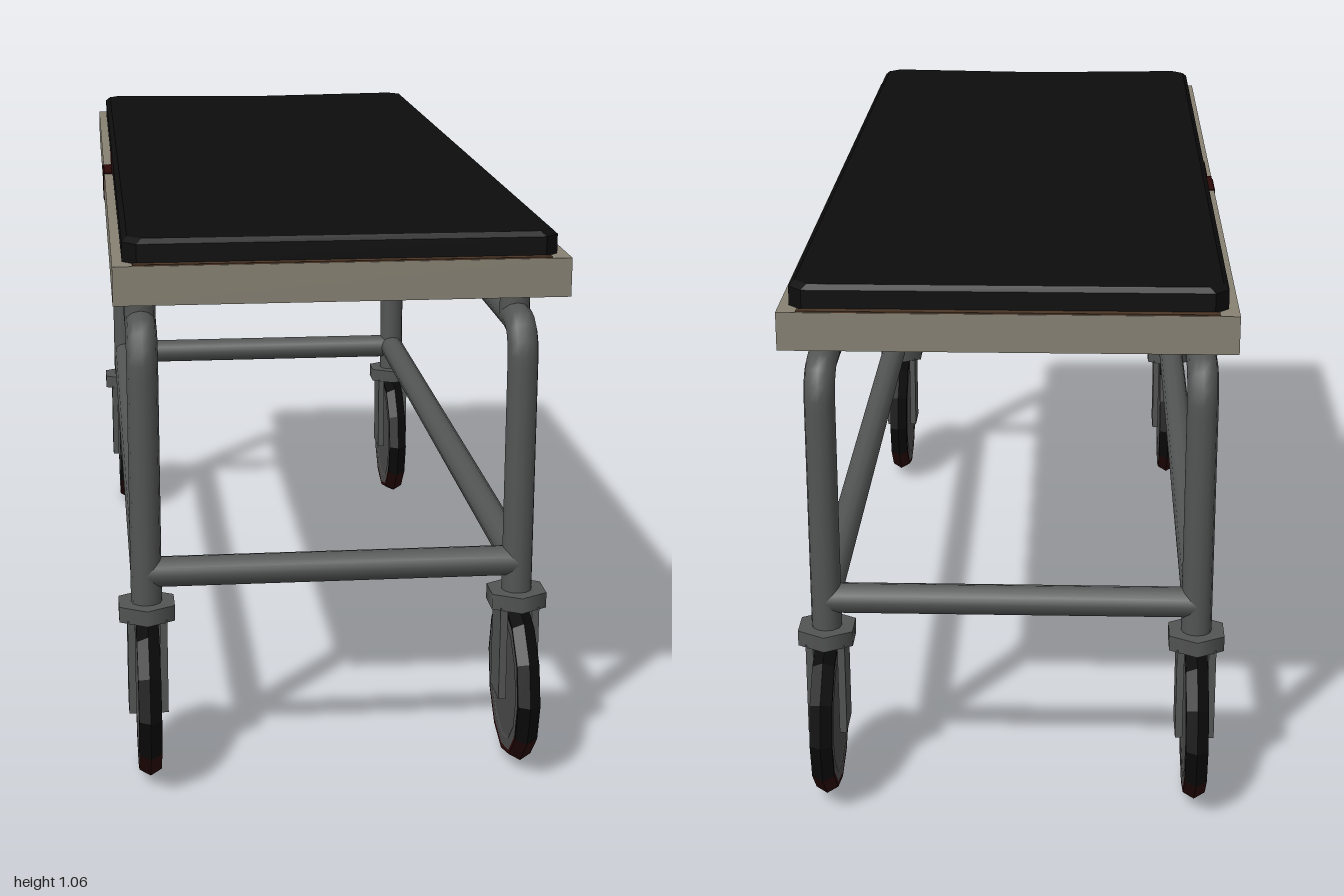
import * as THREE from 'three';

const mat = (name, color) => {
  const m = new THREE.MeshStandardMaterial({ color });
  m.name = name;
  return m;
};

const LEG_X = 0.352, LEG_Z = 0.843, PIPE = 0.029, RAIL_Y = 0.86, LOW_Y = 0.402;
const WHEEL_Y = 0.164;

function flat(geo) {
  const g = geo.index ? geo.toNonIndexed() : geo;
  g.computeVertexNormals();
  return g;
}

// Chamfered pad lofted from rings, closed by a slightly sunken top
function padGeometry(hx, hz, rings, topY) {
  const pos = [], idx = [], n = 8;
  for (const [inset, y] of rings) {
    const x = hx - inset, z = hz - inset, c = 0.025;
    for (const [px, pz] of [[x, z - c], [x - c, z], [c - x, z], [-x, z - c],
      [-x, c - z], [c - x, -z], [x - c, -z], [x, c - z]]) pos.push(px, y, pz);
  }
  for (let r = 0; r < rings.length - 1; r++) {
    for (let i = 0; i < n; i++) {
      const a = r * n + i, b = r * n + (i + 1) % n;
      idx.push(a, a + n, b, b, a + n, b + n);
    }
  }
  // Sunken centre line running along z
  const last = (rings.length - 1) * n, front = rings.length * n, back = front + 1;
  const zEnd = hz - rings[rings.length - 1][0];
  pos.push(0, topY, zEnd, 0, topY, -zEnd);
  const v = (i) => last + i;
  const top = [[v(0), v(7), back, front], [v(0), front, v(1)], [v(7), v(6), back],
    [v(3), front, back, v(4)], [v(3), v(2), front], [v(4), back, v(5)]];
  for (const f of top) for (let k = 1; k < f.length - 1; k++) idx.push(f[0], f[k], f[k + 1]);
  const g = new THREE.BufferGeometry();
  g.setAttribute('position', new THREE.Float32BufferAttribute(pos, 3));
  // Every ring runs clockwise from above, so orient faces outward
  const p = g.attributes.position, a = new THREE.Vector3(), b = new THREE.Vector3(), c = new THREE.Vector3();
  const centre = new THREE.Vector3(0, 1.0, 0);
  for (let i = 0; i < idx.length; i += 3) {
    a.fromBufferAttribute(p, idx[i]);
    b.fromBufferAttribute(p, idx[i + 1]);
    c.fromBufferAttribute(p, idx[i + 2]);
    const normal = b.clone().sub(a).cross(c.clone().sub(a));
    if (normal.dot(a.clone().sub(centre)) < 0) [idx[i + 1], idx[i + 2]] = [idx[i + 2], idx[i + 1]];
  }
  g.setIndex(idx);
  return flat(g);
}

export function createModel() {
  const model = new THREE.Group();
  model.name = 'trolley';
  const steel = mat('steel grey', 0x535454);
  const paint = mat('tray paint', 0x888274);
  const black = mat('black vinyl', 0x0d0d0d);
  const rubber = mat('black rubber', 0x0a0a0a);
  const hubGrey = mat('wheel grey', 0x4c4c4c);
  const red = mat('dark red stain', 0x2c0808);
  const rust = mat('rust brown', 0x4b3524);

  const add = (name, geo, material, x = 0, y = 0, z = 0, parent = model) => {
    const m = new THREE.Mesh(geo, material);
    m.name = name;
    m.position.set(x, y, z);
    parent.add(m);
    return m;
  };
  const box = (name, w, h, d, material, x, y, z, parent) =>
    add(name, new THREE.BoxGeometry(w, h, d), material, x, y, z, parent);

  // Tray and mattress
  box('tray', 0.81, 0.07, 1.975, paint, 0, 0.98, 0);
  add('mattress', padGeometry(0.387, 0.968,
    [[0, 1.012], [0, 1.05], [0.01, 1.059]], 1.054), black);

  // Worn strips on the tray ends
  for (const s of [-1, 1]) box('wornEdge', 0.74, 0.004, 0.016, rust, 0, 1.0155, s * 0.978);

  // Worn patches under the tray: x, z, half width, half length
  for (const [x, z, w, l] of [[0.34, -0.66, 0.06, 0.15], [0.365, -0.13, 0.04, 0.19],
    [0.37, 0.43, 0.035, 0.2], [-0.3, 0.55, 0.06, 0.17]]) {
    const patch = add('rustPatch', new THREE.CylinderGeometry(1, 1, 0.003, 9), rust, x, 0.9445, z);
    patch.scale.set(w, 1, l);
  }
  add('darkSpot', new THREE.CylinderGeometry(0.025, 0.025, 0.003, 10), steel, -0.13, 0.9445, -0.05);

  // Stain on one long edge
  box('traySideStain', 0.003, 0.06, 0.1, red, -0.4055, 0.985, -0.06);
  box('trayTopStain', 0.018, 0.003, 0.12, red, -0.396, 1.0155, -0.05);
  box('mattressStain', 0.003, 0.035, 0.12, red, -0.3875, 1.032, -0.05);

  // Bent side frames, lower rails and tray supports
  const p = (y, z) => new THREE.Vector3(0, y, z);
  const bend = 0.065, path = new THREE.CurvePath();
  path.add(new THREE.LineCurve3(p(0.33, LEG_Z), p(RAIL_Y - bend, LEG_Z)));
  path.add(new THREE.QuadraticBezierCurve3(p(RAIL_Y - bend, LEG_Z), p(RAIL_Y, LEG_Z), p(RAIL_Y, LEG_Z - bend)));
  path.add(new THREE.LineCurve3(p(RAIL_Y, LEG_Z - bend), p(RAIL_Y, bend - LEG_Z)));
  path.add(new THREE.QuadraticBezierCurve3(p(RAIL_Y, bend - LEG_Z), p(RAIL_Y, -LEG_Z), p(RAIL_Y - bend, -LEG_Z)));
  path.add(new THREE.LineCurve3(p(RAIL_Y - bend, -LEG_Z), p(0.33, -LEG_Z)));
  const frameGeo = new THREE.TubeGeometry(path, 120, PIPE, 12, false);
  const supportGeo = new THREE.CylinderGeometry(PIPE, PIPE, 0.09, 12, 1, true);
  const sideRailGeo = new THREE.CylinderGeometry(PIPE, PIPE, LEG_Z * 2, 12, 1, true).rotateX(Math.PI / 2);
  const endRailGeo = new THREE.CylinderGeometry(PIPE, PIPE, LEG_X * 2, 12, 1, true).rotateZ(Math.PI / 2);
  for (const s of [-1, 1]) {
    add('sideFrame', frameGeo, steel, s * LEG_X);
    add('lowerSideRail', sideRailGeo, steel, s * LEG_X, LOW_Y, 0);
    add('lowerEndRail', endRailGeo, steel, 0, LOW_Y, s * LEG_Z);
    for (const z of [-0.755, 0, 0.755]) add('traySupport', supportGeo, steel, s * LEG_X, 0.905, z);
  }

  // Casters: hexagonal mount, two fork arms, twelve-sided wheel
  const v2 = (x, y) => new THREE.Vector2(x, y);
  const tread = [v2(0.138, -0.021), v2(0.148, -0.021), v2(0.16, 0), v2(0.148, 0.021), v2(0.138, 0.021)];
  const disc = [v2(0, -0.019), v2(0.115, -0.019), v2(0.12, -0.021), v2(0.14, -0.021),
    v2(0.14, 0.021), v2(0.12, 0.021), v2(0.115, 0.019), v2(0, 0.019)];
  const lathe = (pts, seg, start, len) =>
    flat(new THREE.LatheGeometry(pts, seg, start, len).rotateZ(Math.PI / 2));
  const step = Math.PI / 6;
  const cleanTread = lathe(tread, 8, -step, step * 8);
  const dirtyTread = lathe(tread, 4, step * 7, step * 4);
  const discGeo = lathe(disc, 12, 0, Math.PI * 2);
  const mountGeo = new THREE.CylinderGeometry(0.06, 0.06, 0.03, 6);

  for (const sx of [-1, 1]) for (const sz of [-1, 1]) {
    const caster = new THREE.Group();
    caster.name = 'caster';
    caster.position.set(sx * LEG_X, 0, sz * LEG_Z);
    model.add(caster);
    add('casterMount', mountGeo, steel, 0, 0.33, 0, caster);
    for (const s of [-1, 1]) box('forkArm', 0.014, 0.185, 0.08, steel, s * 0.03, 0.2275, 0, caster);
    add('wheelDisc', discGeo, hubGrey, 0, WHEEL_Y, 0, caster);
    add('tyre', cleanTread, rubber, 0, WHEEL_Y, 0, caster);
    add('stainedTyre', dirtyTread, red, 0, WHEEL_Y, 0, caster);
  }

  // Paint chip on the front left fork
  const chip = new THREE.Shape([v2(0.01, 0), v2(0.038, 0), v2(0.026, 0.068), v2(-0.01, 0.062), v2(-0.02, 0.02)]);
  const chipGeo = new THREE.ExtrudeGeometry(chip, { depth: 0.002, bevelEnabled: false }).rotateY(Math.PI / 2);
  add('paintChip', chipGeo, paint, LEG_X + 0.0365, 0.14, LEG_Z);

  return model;
}
